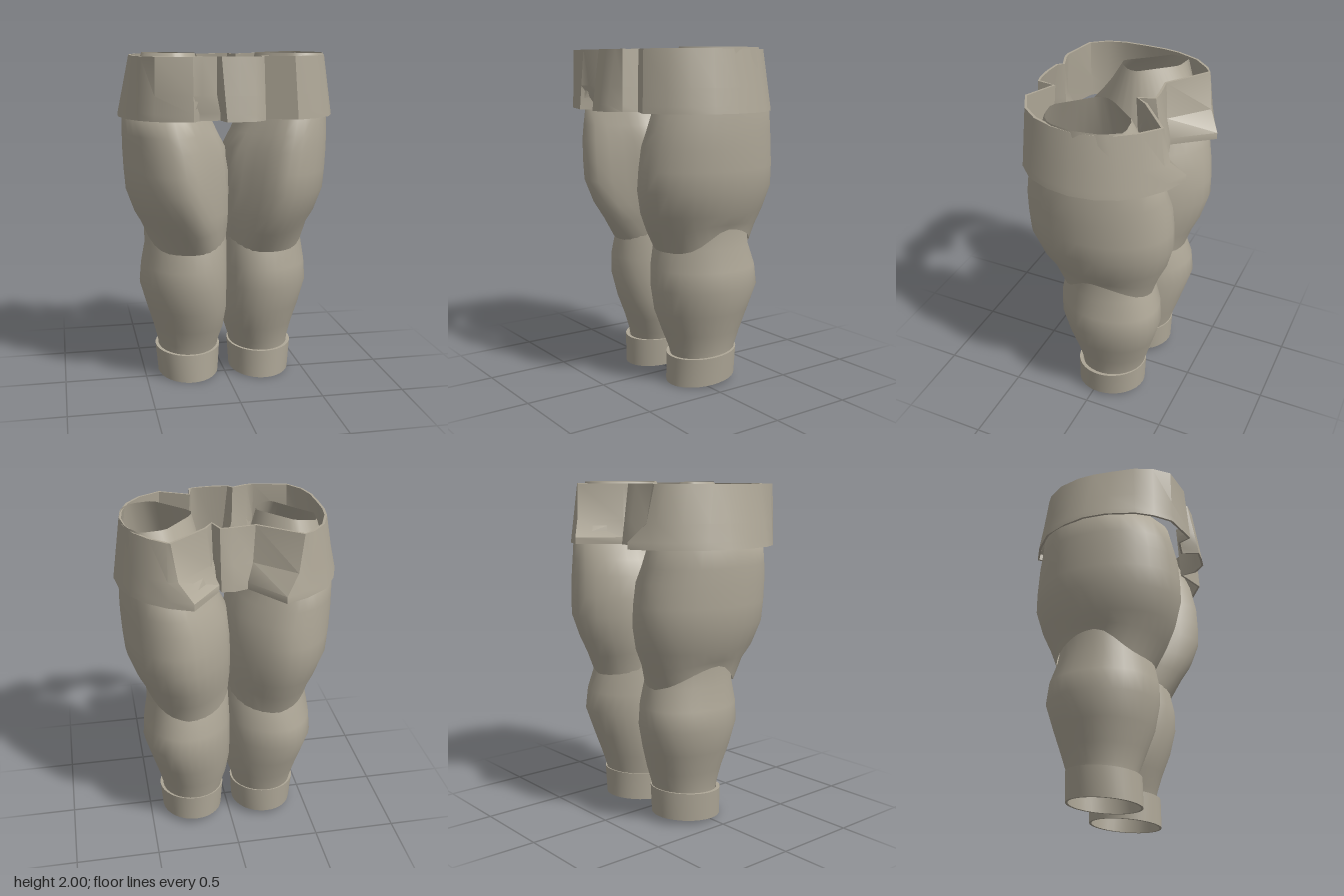
import * as THREE from 'three';
import { toCreasedNormals } from 'three/addons/utils/BufferGeometryUtils.js';

const N = 32;
const cloth = new THREE.MeshStandardMaterial({ color: 0xaea797, side: THREE.DoubleSide });
cloth.name = 'warm grey cloth';

// Skin over a list of closed rings of [x, y, z] points
function loft(name, rings, crease = 0) {
  const n = rings[0].length, index = [];
  for (let r = 0; r < rings.length - 1; r++) {
    for (let i = 0; i < n; i++) {
      const j = (i + 1) % n, a = r * n + i, b = r * n + j, c = a + n, d = b + n;
      index.push(a, c, b, b, c, d);
    }
  }
  let geo = new THREE.BufferGeometry();
  geo.setAttribute('position', new THREE.Float32BufferAttribute(rings.flat(2), 3));
  geo.setIndex(index);
  if (crease) geo = toCreasedNormals(geo, crease);
  else geo.computeVertexNormals();
  const mesh = new THREE.Mesh(geo, cloth);
  mesh.name = name;
  return mesh;
}

// Oval leg section, flattened where it meets the other leg; y may vary with
// angle, lean swings front and back apart sideways, dent slims the inner front
function oval(side, y, outer, inner, front, back, lean = 0, dent = 0) {
  const ring = [];
  for (let i = 0; i < N; i++) {
    const t = i / N * Math.PI * 2, c = Math.cos(t), s = Math.sin(t);
    const x = (outer + inner) / 2 + (outer - inner) / 2 * c + lean * s * Math.abs(s);
    const slim = c < 0 ? 1 - dent * (s > 0 ? 1 : 0.25) * c * c * s * s : 1;
    const z = (front + back) / 2 + (front - back) / 2 * s * slim;
    ring.push([side * Math.max(x, 0), typeof y === 'function' ? y(c, s) : y, z]);
  }
  return ring;
}

// Angular opening, resampled to match the ovals
function opening(side, y, corners) {
  const shape = new THREE.Shape(corners.map(p => new THREE.Vector2(...p)));
  shape.closePath();
  return shape.getSpacedPoints(N).slice(0, N).map(p => [side * p.x, y, p.y]);
}

// Lower edge of the thigh: high outside, steep in front, gentle behind
function hem(c, s) {
  if (c < 0) return 0.83 - 0.07 * c ** 3;
  return s > 0 ? 0.83 + 0.14 * c ** 6 : 0.84 + 0.13 * c ** 2;
}

function makeLeg(side, name, topCorners) {
  const leg = new THREE.Group();
  leg.name = name;

  // Thigh: scalloped lower hem, full middle, narrowing to the opening
  leg.add(loft('thigh', [
    oval(side, hem, 0.5, -0.01, 0.235, -0.335, -0.025),
    oval(side, c => 0.95 + 0.05 * c * c, 0.515, -0.02, 0.31, -0.375, -0.025, 0.5),
    oval(side, 1.06, 0.55, -0.03, 0.37, -0.425, -0.015, 0.9),
    oval(side, 1.2, 0.6, -0.03, 0.413, -0.464, -0.01, 1.1),
    oval(side, 1.32, 0.61, -0.02, 0.413, -0.462, -0.005, 1.1),
    oval(side, 1.45, 0.616, 0.002, 0.405, -0.45, 0, 1),
    oval(side, 1.54, 0.616, 0.05, 0.385, -0.43, 0, 0.8),
    oval(side, 1.65, 0.613, 0.1, 0.36, -0.41, 0, 0.6),
    opening(side, 2.0, topCorners),
  ]));

  // Calf
  leg.add(loft('calf', [
    oval(side, 0.16, 0.41, 0.045, 0.125, -0.265),
    oval(side, 0.22, 0.415, 0.035, 0.14, -0.275, -0.005),
    oval(side, 0.32, 0.44, 0.003, 0.175, -0.305, -0.015),
    oval(side, 0.45, 0.48, -0.02, 0.225, -0.345, -0.025),
    oval(side, 0.6, 0.523, -0.025, 0.257, -0.387, -0.03),
    oval(side, 0.72, 0.513, -0.025, 0.257, -0.375, -0.03),
    oval(side, 0.85, 0.49, -0.02, 0.23, -0.33, -0.03),
    oval(side, c => 0.93 + 0.05 * Math.max(0, c), 0.493, -0.015, 0.21, -0.31, -0.03),
  ]));

  // Cuff: tilted hollow band
  const low = (c, s) => 0.02 - 0.02 * s, high = (c, s) => 0.192 - 0.018 * s;
  const cuffOut = oval(side, low, 0.417, 0.04, 0.16, -0.275);
  leg.add(loft('cuff', [
    cuffOut,
    oval(side, high, 0.432, 0.028, 0.155, -0.28),
    oval(side, high, 0.41, 0.045, 0.135, -0.26),
    oval(side, low, 0.403, 0.054, 0.146, -0.261),
    cuffOut,
  ], 0.7));
  return leg;
}

// Waistband plan: [top x, top z, bottom x, bottom z, bottom share at mid height]
const BAND = [
  [-0.36, -0.405, -0.25, -0.505, 0.3], [-0.42, -0.37, -0.38, -0.45], [-0.5, -0.28, -0.51, -0.355],
  [-0.55, -0.15, -0.59, -0.22], [-0.565, -0.05, -0.635, -0.09], [-0.565, 0.06, -0.64, 0.05],
  [-0.56, 0.2, -0.605, 0.22], [-0.53, 0.31, -0.55, 0.32], [-0.46, 0.405, -0.47, 0.41],
  [-0.26, 0.45, -0.26, 0.48], [-0.21, 0.445, -0.22, 0.41, 0], [-0.12, 0.41, -0.1, 0.4, 0],
  [-0.1, 0.44, -0.08, 0.5], [0, 0.45, 0, 0.505], [0.09, 0.445, 0.08, 0.5],
  [0.14, 0.43, 0.15, 0.44], [0.15, 0.33, 0.17, 0.35], [0.32, 0.41, 0.34, 0.43],
  [0.45, 0.34, 0.47, 0.365], [0.53, 0.24, 0.565, 0.27], [0.575, 0.12, 0.62, 0.14],
  [0.59, 0, 0.64, 0], [0.575, -0.12, 0.62, -0.14], [0.53, -0.23, 0.57, -0.26],
  [0.46, -0.325, 0.49, -0.365], [0.375, -0.4, 0.38, -0.45], [0.355, -0.41, 0.25, -0.505, 0.3],
  [0.14, -0.23, 0.08, -0.29, 0.3], [0.1, -0.16, 0.09, -0.17], [0.07, -0.25, 0.07, -0.3],
  [0, -0.25, 0, -0.31], [-0.13, -0.23, -0.08, -0.285, 0.3],
];

// One level of the band; folds take their own share of the flare, and the
// inset moves the row inwards for the inner wall
function bandRow(y, inset, share) {
  const pts = BAND.map(([tx, tz, bx, bz, mid]) => {
    const f = share(mid);
    return [tx + (bx - tx) * f, tz + (bz - tz) * f];
  });
  return pts.map(([x, z], i) => {
    const a = pts[(i + pts.length - 1) % pts.length], b = pts[(i + 1) % pts.length];
    const dx = b[0] - a[0], dz = b[1] - a[1], l = Math.hypot(dx, dz);
    return [x + inset * dz / l, y, z - inset * dx / l];
  });
}

function bandWall(inset) {
  return [
    bandRow(1.64, inset, () => 1),
    bandRow(1.68, inset, mid => mid === undefined ? 0.89 : 1),
    bandRow(1.78, inset, mid => mid ?? 0.6),
    bandRow(1.99, inset, () => 0),
  ];
}

export function createModel() {
  const model = new THREE.Group();
  model.name = 'trousers';

  // Left opening is wide; right one is a narrow tilted slot
  model.add(makeLeg(1, 'leftLeg', [
    [0.59, -0.01], [0.565, 0.14], [0.5, 0.2], [0.38, 0.22], [0.2, 0.04],
    [0.18, 0], [0.2, -0.05], [0.36, -0.24], [0.5, -0.26], [0.565, -0.16],
  ]));
  model.add(makeLeg(-1, 'rightLeg', [
    [0.48, -0.13], [0.4, -0.04], [0.29, 0.1], [0.24, 0.09], [0.18, 0.02],
    [0.18, -0.03], [0.35, -0.22], [0.47, -0.24],
  ]));

  // Folded waistband with inner and outer walls
  const outside = bandWall(0), inside = bandWall(0.014).reverse();
  model.add(loft('waistband', [...outside, ...inside, outside[0]], 0.65));
  return model;
}
